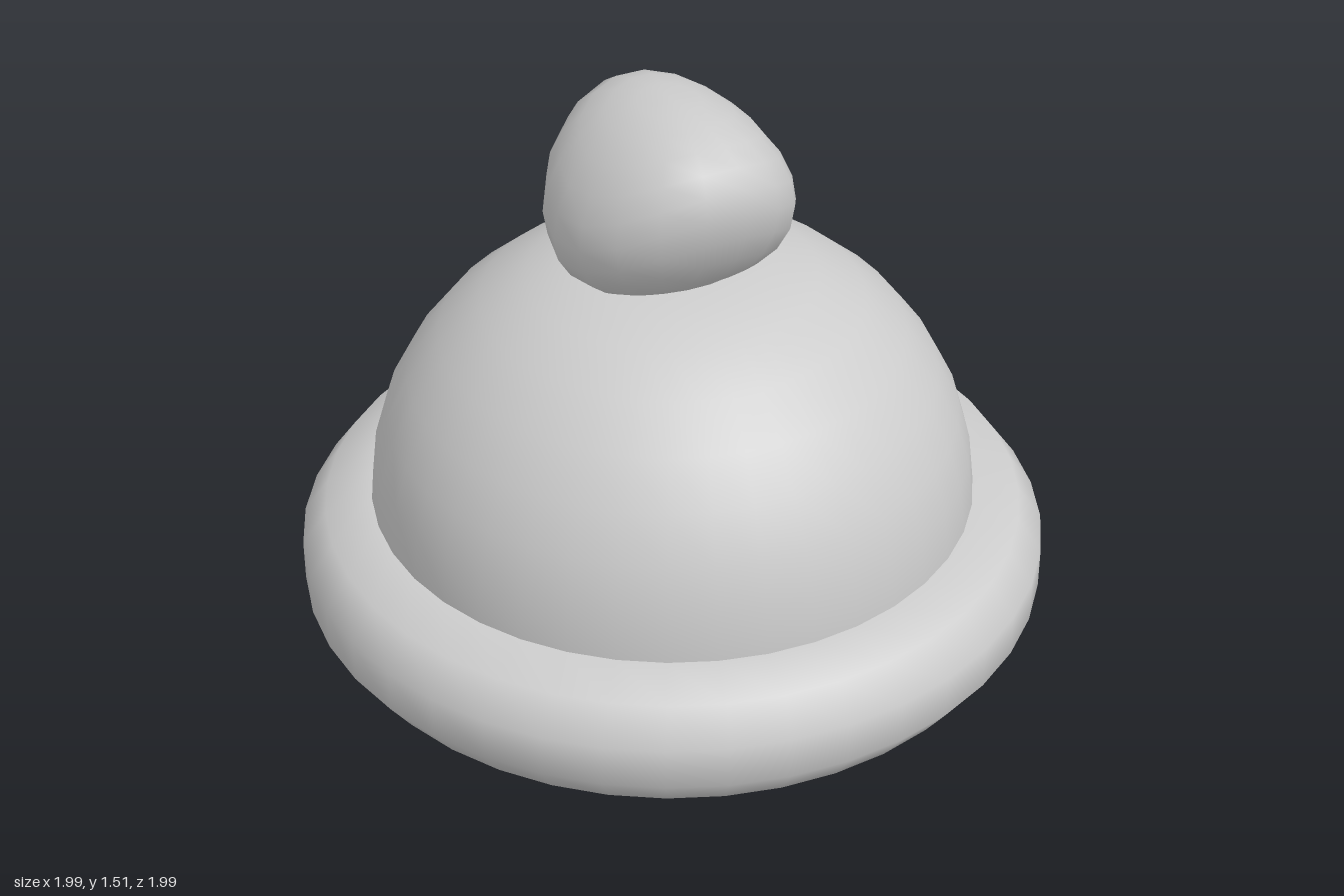
import * as THREE from 'three';

const lathe = (pts, segments) =>
  new THREE.LatheGeometry(pts.map(([r, y]) => new THREE.Vector2(r, y)), segments);

export function createModel() {
  const hat = new THREE.Group();
  hat.name = 'bobbleHat';
  const wool = new THREE.MeshStandardMaterial({ color: 0xcccccc });
  wool.name = 'paleGreyWool';

  const add = (name, geometry) => {
    const mesh = new THREE.Mesh(geometry, wool);
    mesh.name = name;
    hat.add(mesh);
    return mesh;
  };

  // Rolled brim: a fat ring with a slightly flattened underside
  add('brim', lathe([
    [0.68, 0.06], [0.72, 0.028], [0.82, 0.004], [0.93, 0.04], [0.995, 0.13],
    [0.995, 0.245], [0.93, 0.335], [0.81, 0.37], [0.74, 0.36],
  ], 40));

  // Domed crown
  add('crown', lathe([
    [0.805, 0.2], [0.805, 0.37], [0.79, 0.5], [0.755, 0.62], [0.695, 0.735],
    [0.61, 0.845], [0.5, 0.94], [0.38, 1.005], [0.26, 1.042], [0.13, 1.055], [0, 1.058],
  ], 40));

  // Flat base closing the underside
  const base = add('base', new THREE.CircleGeometry(0.74, 40));
  base.rotation.x = Math.PI / 2;
  base.position.y = 0.03;

  // Bobble: squashed ball bent like a saddle, raised front and back, lowered at the sides
  const ball = new THREE.SphereGeometry(1, 18, 12);
  const p = ball.attributes.position;
  for (let i = 0; i < p.count; i++) {
    const x = p.getX(i), y = p.getY(i), z = p.getZ(i);
    const bend = 0.075 * (z * z - x * x);
    p.setXYZ(i, x * 0.322, y * (y > 0 ? 0.25 : 0.27) + bend, z * 0.328);
  }
  // Analytic normals keep the ball's seam smooth
  const n = ball.attributes.normal, v = new THREE.Vector3();
  for (let i = 0; i < p.count; i++) {
    const x = p.getX(i) / 0.322, z = p.getZ(i) / 0.328;
    const y = n.getY(i) / 0.255;
    v.set((x + 0.15 * x * y) / 0.322, y, (z - 0.15 * z * y) / 0.328).normalize();
    n.setXYZ(i, v.x, v.y, v.z);
  }
  add('bobble', ball).position.set(-0.005, 1.26, -0.005);

  return hat;
}
